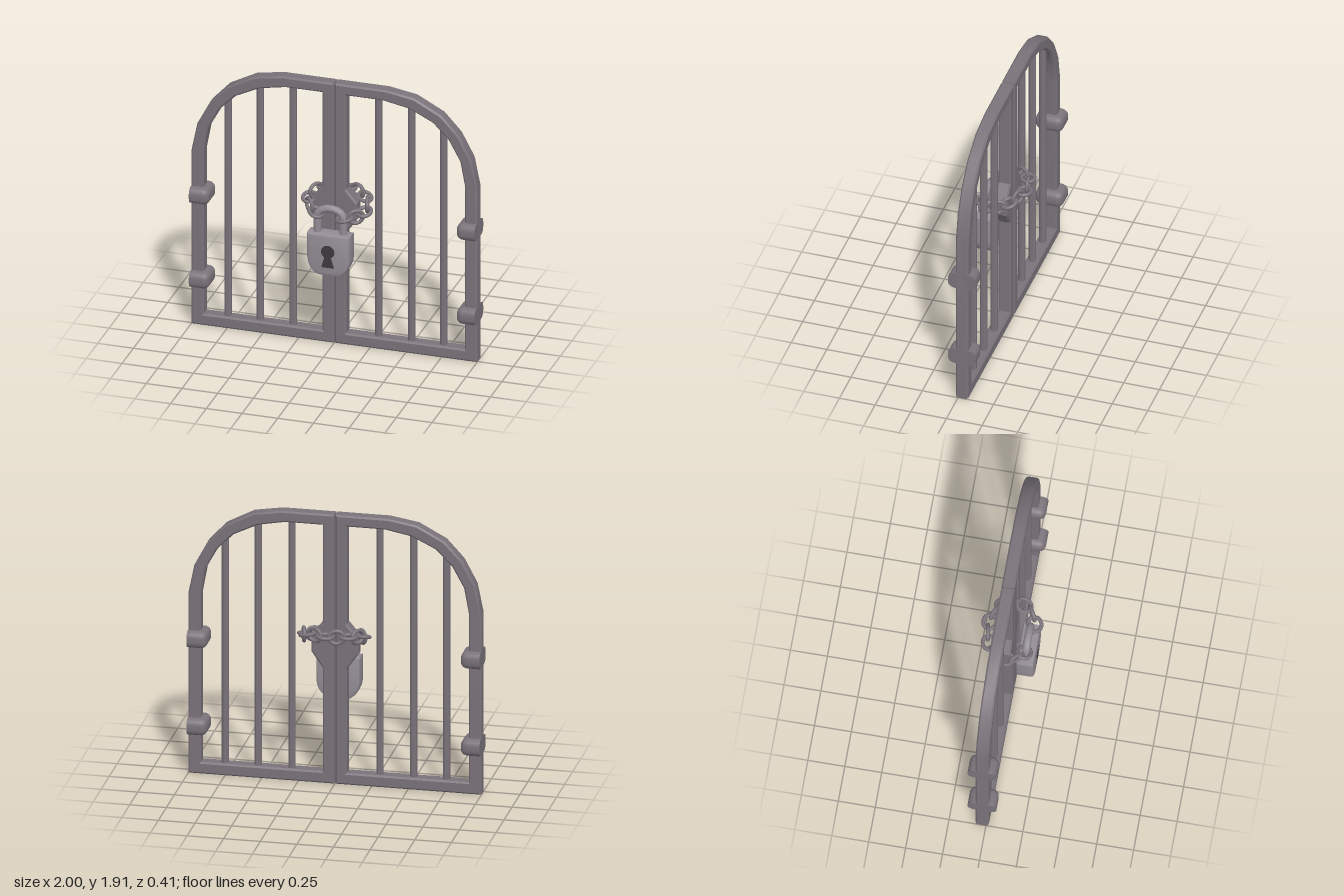
import * as THREE from 'three';
import { toCreasedNormals } from 'three/addons/utils/BufferGeometryUtils.js';
import { RoundedBoxGeometry } from 'three/addons/geometries/RoundedBoxGeometry.js';

const iron = new THREE.MeshStandardMaterial({ color: 0x7a737a });
const steel = new THREE.MeshStandardMaterial({ color: 0x938c95 });
const dark = new THREE.MeshStandardMaterial({ color: 0x3d3a3d });

const GATE_Z = -0.027; // mid-plane of the gate
const GATE_DEPTH = 0.09;

function addMesh(parent, name, geometry, material, x = 0, y = 0, z = 0) {
  const mesh = new THREE.Mesh(geometry, material);
  mesh.name = name;
  mesh.position.set(x, y, z);
  parent.add(mesh);
  return mesh;
}

// Extrusion centred on z = 0 with a bevel that stays inside the outline
function bevelled(shape, depth, bevel, segments, crease) {
  const g = new THREE.ExtrudeGeometry(shape, {
    depth: depth - 2 * bevel, bevelEnabled: true, bevelSize: bevel, bevelThickness: bevel,
    bevelOffset: -bevel, bevelSegments: segments, curveSegments: 6,
  });
  g.translate(0, 0, bevel - depth / 2);
  return toCreasedNormals(g, crease);
}

// One leaf: arched frame with a widened lock stile, bars and hinges
function makeLeaf(side) {
  const leaf = new THREE.Group();
  leaf.name = side > 0 ? 'leftLeaf' : 'rightLeaf';
  const points = (list) => list.map(([x, y]) => new THREE.Vector2(side * x, y));

  const frame = new THREE.Shape(points([
    [0.004, 0], [1, 0], [1, 1.28], [0.96, 1.48], [0.87, 1.65], [0.75, 1.78],
    [0.56, 1.88], [0.365, 1.912], [0.004, 1.912],
  ]));
  frame.holes.push(new THREE.Path(points([
    [0.083, 0.083], [0.083, 0.82], [0.16, 0.93], [0.16, 1.05], [0.083, 1.14],
    [0.083, 1.835], [0.34, 1.835], [0.525, 1.8], [0.69, 1.72], [0.8, 1.61],
    [0.882, 1.46], [0.915, 1.28], [0.915, 0.083],
  ])));
  addMesh(leaf, 'frame', bevelled(frame, GATE_DEPTH, 0.011, 1, 0.4), iron, 0, 0, GATE_Z);

  for (const [x, top] of [[0.3, 1.86], [0.53, 1.82], [0.755, 1.69]]) {
    const bar = new THREE.CylinderGeometry(0.025, 0.025, top - 0.06, 8, 1, true);
    bar.rotateY(Math.PI / 8);
    addMesh(leaf, 'bar', toCreasedNormals(bar, 0.4), iron, side * x, (top + 0.06) / 2, GATE_Z);
  }

  // Hinge sleeves: rounded towards the gate, cut flat at the outer edge
  for (const y of [0.34, 0.96]) {
    const hinge = new RoundedBoxGeometry(0.22, 0.118, 0.195, 3, 0.045);
    hinge.translate(side * 0.975, 0, 0);
    const p = hinge.attributes.position;
    for (let i = 0; i < p.count; i++) {
      p.setX(i, THREE.MathUtils.clamp(p.getX(i), -1, 1));
    }
    addMesh(leaf, 'hinge', toCreasedNormals(hinge, 0.7), iron, 0, y, GATE_Z);
  }
  return leaf;
}

function makePadlock() {
  const lock = new THREE.Group();
  lock.name = 'padlock';
  lock.position.set(0.005, 0, 0.11);

  const body = new THREE.Shape();
  body.moveTo(-0.15, 0.86);
  body.lineTo(-0.15, 0.68);
  body.bezierCurveTo(-0.145, 0.6, -0.09, 0.56, -0.05, 0.56);
  body.lineTo(0.05, 0.56);
  body.bezierCurveTo(0.09, 0.56, 0.145, 0.6, 0.15, 0.68);
  body.lineTo(0.15, 0.86);
  addMesh(lock, 'lockBody', bevelled(body, 0.122, 0.02, 2, 0.6), steel);

  // Keyhole: round top running into a flared slot
  const hole = new THREE.Shape();
  hole.absarc(0, 0.74, 0.047, -1.05, Math.PI + 1.05, false);
  hole.lineTo(-0.045, 0.625);
  hole.lineTo(0.045, 0.625);
  addMesh(lock, 'keyhole', new THREE.ShapeGeometry(hole, 16), dark, 0, 0, 0.0625);

  const path = new THREE.CurvePath();
  const v = (x, y) => new THREE.Vector3(x, y, 0);
  path.add(new THREE.LineCurve3(v(-0.09, 0.84), v(-0.09, 0.97)));
  path.add(new THREE.CubicBezierCurve3(v(-0.09, 0.97), v(-0.09, 1.055), v(0.09, 1.055), v(0.09, 0.97)));
  path.add(new THREE.LineCurve3(v(0.09, 0.97), v(0.09, 0.84)));
  addMesh(lock, 'shackle', new THREE.TubeGeometry(path, 28, 0.026, 10), steel);
  return lock;
}

// Chain of alternating flat and upright links passing behind the gate
function makeChain() {
  const chain = new THREE.Group();
  chain.name = 'chain';
  const path = new THREE.CatmullRomCurve3([
    [-0.1, 0.99, 0.1], [-0.165, 1.02, 0.05], [-0.178, 1.05, -0.04], [-0.12, 1.075, -0.125],
    [0, 1.075, -0.16], [0.12, 1.075, -0.135], [0.2, 1.05, -0.07], [0.225, 1.02, 0.02],
    [0.2, 1.0, 0.09], [0.11, 0.985, 0.135],
  ].map((p) => new THREE.Vector3(...p)));
  const link = new THREE.TorusGeometry(0.045, 0.013, 8, 16);
  link.scale(1.12, 1, 1);
  const count = 13;
  for (let i = 0; i < count; i++) {
    const t = i / (count - 1);
    const along = path.getTangentAt(t);
    const across = new THREE.Vector3(0, 1, 0).cross(along).normalize();
    const up = along.clone().cross(across);
    const mesh = addMesh(chain, 'chainLink', link, iron);
    const basis = i % 2 === 0
      ? new THREE.Matrix4().makeBasis(along, across.negate(), up)
      : new THREE.Matrix4().makeBasis(along, up, across.negate());
    if (basis.determinant() < 0) basis.scale(new THREE.Vector3(1, 1, -1));
    mesh.quaternion.setFromRotationMatrix(basis);
    mesh.position.copy(path.getPointAt(t));
  }
  return chain;
}

export function createModel() {
  const model = new THREE.Group();
  model.name = 'gate';
  model.add(makeLeaf(1), makeLeaf(-1), makePadlock(), makeChain());
  return model;
}
